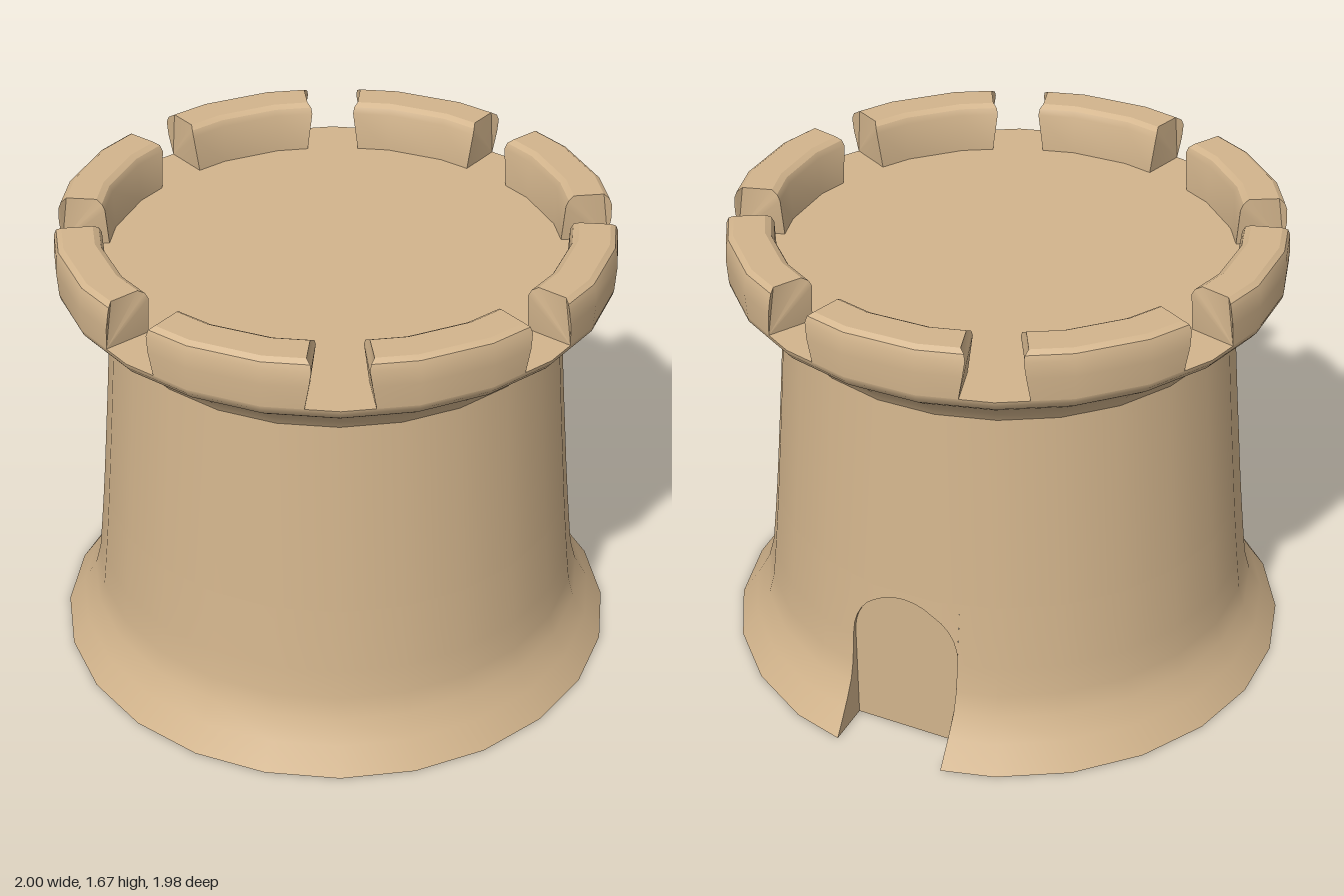
import * as THREE from 'three';
import { toCreasedNormals } from 'three/addons/utils/BufferGeometryUtils.js';

const SIDES = 24;
const STEP = (Math.PI * 2) / SIDES;
const K = 1 / Math.cos(STEP / 2); // flat-to-corner radius factor
const DECK_Y = 1.495;
const DOOR = { half: 0.2, spring: 0.37, top: 0.575, back: -0.82, panelTop: 0.6 };

// [radius to the flats, height]
const lowerProfile = [[1, 0], [0.94, 0.09], [0.893, 0.17], [0.872, 0.25], [0.86, 0.36], [0.848, 0.48], [0.837, 0.6]];
const upperProfile = [[0.837, 0.6], [0.808, 0.95], [0.78, 1.315]];
const flareProfile = [[0.78, 1.315], [0.805, 1.355], [0.84, 1.39], [0.89, 1.425], [0.932, 1.455], [0.952, 1.48], [0.955, DECK_Y]];

const stone = new THREE.MeshStandardMaterial({ color: 0xd2b48c, side: THREE.DoubleSide });

function add(parent, name, geometry) {
  const mesh = new THREE.Mesh(geometry, stone);
  mesh.name = name;
  parent.add(mesh);
  return mesh;
}

function lathe(profile, segments = SIDES, start = STEP / 2) {
  const points = profile.map(([r, y]) => new THREE.Vector2(r * K, y));
  return new THREE.LatheGeometry(points, segments, start, segments * STEP);
}

// Grid of (nu+1) x (nv+1) points; its front faces dP/dv x dP/du
function grid(nu, nv, point) {
  const pos = [], index = [];
  for (let i = 0; i <= nu; i++) for (let j = 0; j <= nv; j++) pos.push(...point(i, j));
  for (let i = 0; i < nu; i++) for (let j = 0; j < nv; j++) {
    const a = i * (nv + 1) + j, b = a + nv + 1;
    index.push(a, a + 1, b, b, a + 1, b + 1);
  }
  const g = new THREE.BufferGeometry();
  g.setAttribute('position', new THREE.Float32BufferAttribute(pos, 3));
  g.setIndex(index);
  g.computeVertexNormals();
  return g;
}

function radiusAt(y) {
  let k = 1;
  while (k < lowerProfile.length - 1 && y > lowerProfile[k][1]) k++;
  const [r0, y0] = lowerProfile[k - 1], [r1, y1] = lowerProfile[k];
  return r0 + ((r1 - r0) * (y - y0)) / (y1 - y0);
}

// Point on the faceted back wall at a given x and height
function wallPoint(x, y) {
  const r = radiusAt(y);
  const past = Math.max(0, Math.abs(x) - r * Math.tan(STEP / 2));
  return [x, y, -(r - past * Math.tan(STEP))];
}

// Gives a wall patch the same rounded shading as the turned wall
function roundShade(g) {
  const p = g.attributes.position, n = g.attributes.normal;
  for (let i = 0; i < p.count; i++) {
    const x = p.getX(i), y = p.getY(i), z = p.getZ(i), r = Math.hypot(x, z);
    const slope = (radiusAt(y + 0.03) - radiusAt(y - 0.03)) / 0.06;
    const v = new THREE.Vector3(x / r, -slope, z / r).normalize();
    n.setXYZ(i, v.x, v.y, v.z);
  }
  return g;
}

// Door outline from the foot at +x, over the arch, to the foot at -x
function doorOutline() {
  const pts = [];
  for (let i = 0; i < 6; i++) pts.push([DOOR.half, (DOOR.spring * i) / 6]);
  for (let i = 0; i <= 16; i++) {
    const a = (Math.PI * i) / 16;
    pts.push([DOOR.half * Math.cos(a), DOOR.spring + (DOOR.top - DOOR.spring) * Math.sin(a)]);
  }
  for (let i = 5; i >= 0; i--) pts.push([-DOOR.half, (DOOR.spring * i) / 6]);
  return pts;
}

function buildDoorway() {
  const door = new THREE.Group();
  door.name = 'doorway';
  const outline = doorOutline();
  const edge = 1.5 * STEP;

  // wall on either side of the opening
  for (const s of [-1, 1]) {
    add(door, s > 0 ? 'wallLeftOfDoor' : 'wallRightOfDoor', roundShade(grid(1, lowerProfile.length - 1, (i, j) => {
      const [r, y] = lowerProfile[j];
      const outer = s > 0 ? i === 1 : i === 0;
      return wallPoint(s * (outer ? r * K * Math.sin(edge) : DOOR.half), y);
    })));
  }

  // wall above the arch
  const arch = outline.slice(6, 23).reverse();
  add(door, 'wallAboveDoor', roundShade(grid(16, 1, (i, j) =>
    wallPoint(arch[i][0], j ? DOOR.panelTop : arch[i][1]))));

  // jambs and arch underside
  const reveal = grid(outline.length - 1, 1, (i, j) => {
    const [x, y] = outline[i];
    return j ? [x, y, DOOR.back] : wallPoint(x, y);
  });
  add(door, 'doorReveal', toCreasedNormals(reveal, 0.6));

  // flat door at the end of the recess
  const panel = new THREE.ShapeGeometry(new THREE.Shape(outline.map(([x, y]) => new THREE.Vector2(x, y))));
  panel.rotateY(Math.PI).translate(0, 0, DOOR.back);
  add(door, 'doorPanel', panel);
  return door;
}

// One battlement block: a cross-section swept round a short arc, wider at the top
function merlonGeometry() {
  // [radius to the flats, height, half angle of the arc]
  const section = [
    [0.955, DECK_Y, 0.275], [0.96, 1.58, 0.29], [0.956, 1.635, 0.298], [0.948, 1.656, 0.294], [0.93, 1.668, 0.28],
    [0.825, 1.668, 0.28], [0.805, 1.656, 0.294], [0.795, 1.635, 0.298], [0.79, DECK_Y, 0.275],
  ];
  const corners = [-1, -STEP / 2, STEP / 2, 1];
  const point = (i, j) => {
    const [r, y, half] = section[j];
    const end = i === 0 || i === 3;
    const a = end ? corners[i] * half : corners[i];
    // the ends stay on the flats of the 24-sided ring
    const R = end ? r / Math.cos(half - STEP) : r * K;
    return [R * Math.sin(a), y, R * Math.cos(a)];
  };
  const n = section.length;
  const g = grid(3, n - 1, point);
  // at the front this grid is wound inwards, so flip it, then close the two ends
  const index = [...g.index.array];
  for (let t = 0; t < index.length; t += 3) [index[t], index[t + 1]] = [index[t + 1], index[t]];
  for (let j = 1; j < n - 1; j++) {
    index.push(0, j + 1, j);
    index.push(3 * n, 3 * n + j, 3 * n + j + 1);
  }
  g.setIndex(index);
  return toCreasedNormals(g, 0.5);
}

export function createModel() {
  const tower = new THREE.Group();
  tower.name = 'tower';

  // walls, leaving three facets at the back for the doorway
  add(tower, 'flaredBase', lathe(lowerProfile, SIDES - 3, Math.PI + 1.5 * STEP));
  add(tower, 'upperWall', lathe(upperProfile));
  add(tower, 'parapetFlare', lathe(flareProfile));
  tower.add(buildDoorway());

  // roof deck
  const deck = new THREE.CircleGeometry(0.955 * K, SIDES, STEP / 2);
  deck.rotateX(-Math.PI / 2).translate(0, DECK_Y, 0);
  add(tower, 'roofDeck', deck);

  // ring of battlements
  const block = merlonGeometry();
  const battlements = new THREE.Group();
  battlements.name = 'battlements';
  for (let i = 0; i < 8; i++) add(battlements, 'merlon', block).rotation.y = (i * Math.PI) / 4;
  tower.add(battlements);

  tower.position.z = -0.009;
  const model = new THREE.Group();
  model.name = 'castleTower';
  model.add(tower);
  return model;
}
